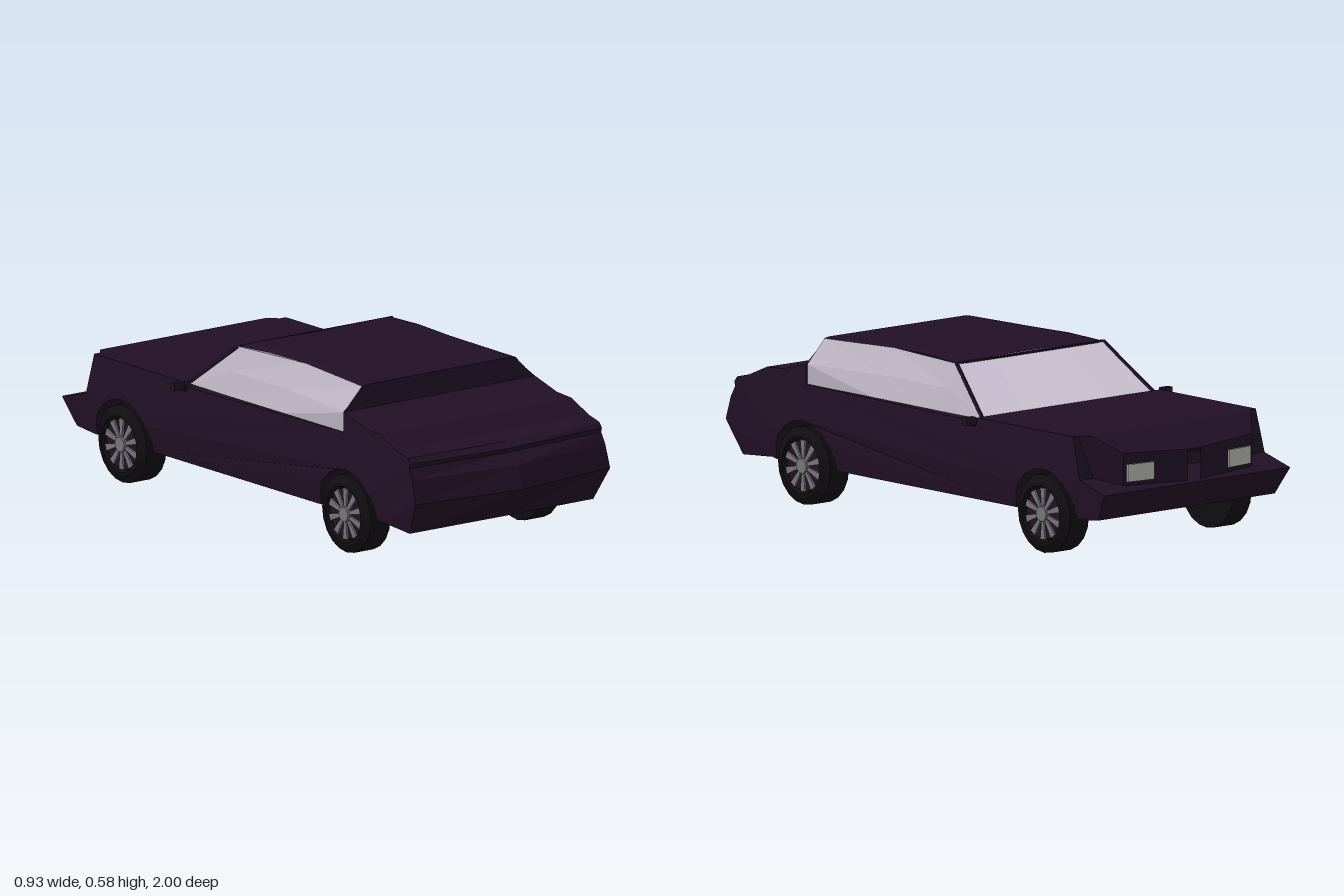
import * as THREE from 'three';

const mat = (color, side = THREE.FrontSide) =>
  new THREE.MeshStandardMaterial({ color, flatShading: true, side });
const paint = mat(0x221026), paintSheet = mat(0x221026, THREE.DoubleSide);
const black = mat(0x0e0a0f), rubber = mat(0x110d12);
const metal = mat(0x77757a), lamp = mat(0xb4b4ac);
const glass = mat(0xdccfe2, THREE.DoubleSide), sideGlass = mat(0xb9afbe, THREE.DoubleSide);

const add = (parent, name, geo, material, x = 0, y = 0, z = 0) => {
  const m = new THREE.Mesh(geo, material);
  m.name = name;
  m.position.set(x, y, z);
  parent.add(m);
  return m;
};

// Faceted surface through rows of [x, y, z] points
function sheet(rows) {
  const pos = [];
  for (let i = 0; i + 1 < rows.length; i++)
    for (let j = 0; j + 1 < rows[i].length; j++) {
      const a = rows[i][j], b = rows[i][j + 1], c = rows[i + 1][j + 1], d = rows[i + 1][j];
      pos.push(...a, ...b, ...c, ...a, ...c, ...d);
    }
  const g = new THREE.BufferGeometry();
  g.setAttribute('position', new THREE.Float32BufferAttribute(pos, 3));
  g.computeVertexNormals();
  return g;
}

// Thin round bar between two points
function bar(parent, name, a, b, r) {
  const p = new THREE.Vector3(...a), q = new THREE.Vector3(...b);
  add(parent, name, new THREE.TubeGeometry(new THREE.LineCurve3(p, q), 1, r, 5), paint);
}

const AXLE_Y = 0.135, REAR_Z = 0.553, NOSE_WHEEL_Z = -0.678;

// Half width of the body at a given height
function halfWidth(y) {
  if (y > 0.38) return 0.412;
  if (y > 0.24) return THREE.MathUtils.mapLinear(y, 0.24, 0.38, 0.418, 0.412);
  return THREE.MathUtils.mapLinear(y, 0.13, 0.24, 0.395, 0.418);
}

// Side outline with wheel arches, widened across the car
function bodyGeometry() {
  const arch = (z) => Array.from({ length: 11 }, (_, i) => {
    const a = Math.PI * i / 10;
    return [z - 0.155 * Math.cos(a), AXLE_Y + 0.155 * Math.sin(a)];
  });
  const outline = [
    [-0.943, 0.145], [-0.85, 0.135], ...arch(NOSE_WHEEL_Z), ...arch(REAR_Z),
    [0.73, 0.14], [0.885, 0.128], [1.0, 0.245], [0.975, 0.325], [0.93, 0.362], [0.94, 0.378],
    [0.91, 0.396], [0.835, 0.41], [0.74, 0.45], [0.66, 0.455], [0.54, 0.487], [0.54, 0.417],
    [-0.33, 0.405], [-0.34, 0.42], [-0.83, 0.42], [-0.87, 0.275], [-1.0, 0.24],
  ];
  const shape = new THREE.Shape(outline.map(([z, y]) => new THREE.Vector2(-z, y)));
  const g = new THREE.ExtrudeGeometry(shape, { depth: 2, steps: 2, bevelEnabled: false });
  const p = g.attributes.position;
  for (let i = 0; i < p.count; i++) {
    const y = p.getY(i), s = p.getZ(i) - 1;
    let z = -p.getX(i);
    // the tail is pointed in plan
    if (z > 0.88) z -= Math.abs(s) * 0.055 * Math.min(1, (z - 0.88) / 0.1);
    p.setXYZ(i, s * halfWidth(y), y, z);
  }
  g.computeVertexNormals();
  return g;
}

function buildWheel() {
  const wheel = new THREE.Group();
  const profile = [[0, 0], [0.135, 0], [0.135, 0.083], [0.108, 0.1], [0.097, 0.1], [0.09, 0.08], [0, 0.08]]
    .map(([r, h]) => new THREE.Vector2(r, h));
  add(wheel, 'tyre', new THREE.LatheGeometry(profile, 20), rubber);
  add(wheel, 'rimDish', new THREE.CylinderGeometry(0.088, 0.088, 0.006, 20), paint, 0, 0.081, 0);
  add(wheel, 'hub', new THREE.CylinderGeometry(0.026, 0.03, 0.016, 10), metal, 0, 0.09, 0);
  // wedge-shaped spokes
  const wedge = new THREE.Shape([[0.02, -0.005], [0.088, -0.012], [0.088, 0.012], [0.02, 0.005]]
    .map((q) => new THREE.Vector2(...q)));
  const spokeGeo = new THREE.ExtrudeGeometry(wedge, { depth: 0.007, bevelEnabled: false });
  spokeGeo.rotateX(-Math.PI / 2);
  for (let i = 0; i < 10; i++)
    add(wheel, 'spoke', spokeGeo, metal, 0, 0.084, 0).rotation.y = i * Math.PI / 5;
  return wheel;
}

export function createModel() {
  const car = new THREE.Group();
  car.name = 'car';

  add(car, 'body', bodyGeometry(), paint);
  add(car, 'floor', new THREE.BoxGeometry(0.64, 0.19, 1.64), black, 0, 0.225, -0.04);

  // Tapered nose: sections of [z, half width, top height]
  const nose = [[-0.8, 0.405, 0.42], [-0.83, 0.388, 0.42], [-0.87, 0.355, 0.418], [-0.95, 0.29, 0.365], [-0.982, 0.03, 0.353]];
  add(car, 'nose', sheet(nose.map(([z, w, t]) =>
    [[-w, 0.235, z], [-w, t, z], [0, t, z], [w, t, z], [w, 0.235, z]])), paintSheet);

  // Roof and the upright panel behind it: sections of [z, half width, height]
  const roof = [[-0.14, 0.33, 0.57], [0.02, 0.32, 0.578], [0.2, 0.31, 0.576], [0.54, 0.33, 0.565]];
  add(car, 'roof', sheet(roof.map(([z, w, y]) =>
    [[-w, y, z], [-w + 0.02, y + 0.004, z], [0, y + 0.004, z - (z < -0.1 ? -0.012 : 0)],
      [w - 0.02, y + 0.004, z], [w, y, z]])), paintSheet);
  const rear = [[0.412, 0.41], [0.412, 0.487], [0.34, 0.548], [0.33, 0.565], [0.31, 0.569]];
  add(car, 'rearPanel', sheet(rear.map(([w, y]) => [[-w, y, 0.54], [w, y, 0.54]])), paintSheet);

  // Windshield, slightly bowed
  const across = [-1, -0.5, 0, 0.5, 1];
  add(car, 'windshield', sheet([
    across.map((s) => [s * 0.39, 0.405, -0.355 + 0.012 * s * s]),
    across.map((s) => [s * 0.33, 0.572, -0.128 - 0.012 * s * s]),
  ]), glass);
  bar(car, 'windshieldHeader', [-0.33, 0.57, -0.14], [0.33, 0.57, -0.14], 0.005);

  for (const s of [-1, 1]) {
    // Side windows, from belt line to roof edge
    const rows = [
      [[0.388, 0.41, -0.34], [0.388, 0.41, -0.34], [0.388, 0.41, -0.34]],
      [[0.4, 0.413, -0.14], [0.37, 0.49, -0.14], [0.33, 0.57, -0.14]],
      [[0.404, 0.415, 0.2], [0.372, 0.49, 0.2], [0.31, 0.576, 0.2]],
      [[0.407, 0.417, 0.538], [0.408, 0.485, 0.538], [0.33, 0.565, 0.538]],
    ].map((row) => row.map(([x, y, z]) => [s * x, y, z]));
    add(car, 'sideWindow', sheet(rows), sideGlass);
    bar(car, 'windshieldPillar', [s * 0.388, 0.408, -0.343], [s * 0.33, 0.57, -0.14], 0.007);

    // Door mirror on a short stalk
    add(car, 'mirror', new THREE.BoxGeometry(0.042, 0.026, 0.022), paint, s * 0.442, 0.411, -0.333);
    bar(car, 'mirrorStalk', [s * 0.4, 0.392, -0.325], [s * 0.435, 0.404, -0.332], 0.008);

    // Headlight set on the slanted nose face
    const light = add(car, 'headlight', new THREE.BoxGeometry(0.11, 0.06, 0.012), lamp, s * 0.222, 0.295, -0.959);
    light.rotation.y = -s * 0.122;

    for (const z of [REAR_Z, NOSE_WHEEL_Z]) {
      const wheel = buildWheel();
      wheel.name = z > 0 ? 'rearWheel' : 'noseWheel';
      wheel.position.set(s * 0.325, AXLE_Y, z);
      wheel.rotation.z = -s * Math.PI / 2;
      car.add(wheel);
    }
  }
  return car;
}
